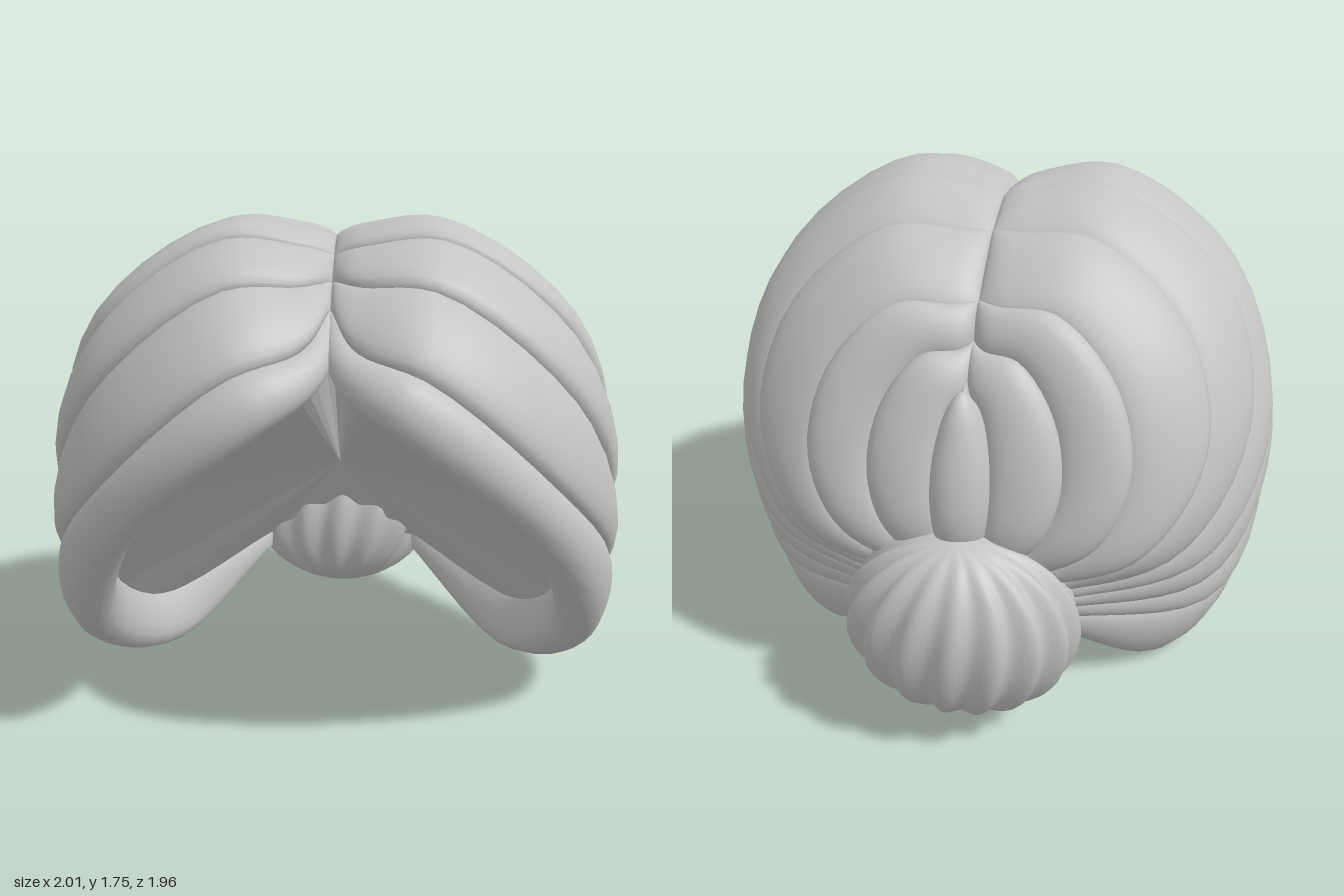
import * as THREE from 'three';

// Seam lines between locks on the left half, each from the parting towards the bun.
// A null seam lies midway between its neighbours.
const SEAMS = [
  [[0.02, 1.42, 0.62], [0.22, 1.17, 0.89], [0.61, 0.82, 0.75], [0.83, 0.29, 0.36], [0.64, 0.025, -0.16]],
  [[0, 1.5, 0.61], [0.3, 1.33, 0.88], [0.69, 0.98, 0.76], [0.92, 0.6, 0.34], [0.83, 0.28, -0.14]],
  [[0, 1.56, 0.46], [0.33, 1.55, 0.67], [0.75, 1.21, 0.58], [0.94, 0.76, 0.19], [0.81, 0.42, -0.22]],
  [[0, 1.62, 0.29], [0.37, 1.66, 0.37], [0.76, 1.38, 0.34], [0.94, 0.9, 0.02], [0.78, 0.55, -0.32]],
  [[0, 1.66, 0.07], [0.37, 1.68, 0.1], [0.76, 1.4, 0.04], [0.87, 1, -0.16], [0.7, 0.65, -0.42]],
  [[0, 1.6, -0.14], [0.34, 1.59, -0.17], [0.64, 1.35, -0.25], [0.74, 1, -0.4], [0.58, 0.7, -0.57]],
  [[0, 1.45, -0.37], [0.26, 1.44, -0.43], [0.46, 1.24, -0.5], [0.52, 0.97, -0.58], [0.43, 0.75, -0.64]],
  null,
  [[0, 1.24, -0.52], [0.05, 1.17, -0.59], [0.08, 1.06, -0.63], [0.09, 0.92, -0.67], [0.08, 0.8, -0.69]],
];

// Seam points, with a steep rise next to the parting and the gathered end beside the bun added.
function seamPoints(i) {
  if (!SEAMS[i]) {
    const next = seamPoints(i + 1);
    return seamPoints(i - 1).map((p, j) => p.lerp(next[j], 0.5));
  }
  const k = i / (SEAMS.length - 1);
  const [start, ...rest] = SEAMS[i].map((p) => new THREE.Vector3(...p));
  const rise = start.clone().lerp(rest[0], 0.6);
  rise.x = THREE.MathUtils.lerp(start.x, rest[0].x, 0.3);
  const end = new THREE.Vector3(0.3 - 0.25 * k ** 3, 0.28 + 0.38 * k ** 0.7, -0.5 - 0.17 * k ** 0.6);
  return [start, rise, ...rest, end];
}

// Rings of points to a smooth closed surface.
function ringGeometry(rows, flip) {
  const cols = rows[0].length, pos = [], index = [];
  rows.forEach((r) => r.forEach((p) => pos.push(flip ? -p.x : p.x, p.y, p.z)));
  for (let i = 0; i < rows.length - 1; i++) {
    for (let j = 0; j < cols; j++) {
      const a = i * cols + j, b = i * cols + ((j + 1) % cols), c = a + cols, d = b + cols;
      if (flip) index.push(a, c, b, b, c, d);
      else index.push(a, b, c, b, d, c);
    }
  }
  const g = new THREE.BufferGeometry();
  g.setAttribute('position', new THREE.Float32BufferAttribute(pos, 3));
  g.setIndex(index);
  g.computeVertexNormals();
  return g;
}

// Plump lock swept between two seam curves, flattening at both ends.
function lockGeometry(front, back, outer, inner, flip) {
  const rows = [], N = 44, M = 22;
  for (let i = 0; i <= N; i++) {
    const v = (1 - Math.cos((Math.PI * i) / N)) / 2;
    const a = front.getPoint(v), b = back.getPoint(v);
    const c = a.clone().add(b).multiplyScalar(0.5);
    const h = b.clone().sub(a).multiplyScalar(0.56);
    const n = front.getTangent(v).add(back.getTangent(v)).cross(h).normalize();
    const swell = Math.pow(Math.max(0, Math.sin(Math.PI * v)), 0.4);
    const row = [];
    for (let j = 0; j < M; j++) {
      const ang = (j / M) * Math.PI * 2, s = Math.sin(ang), co = Math.cos(ang);
      // the front edge rides slightly over the neighbouring lock
      const lift = (s > 0 ? outer : inner) * Math.sign(s) * Math.pow(Math.abs(s), 0.85) - 0.015 * co;
      row.push(c.clone().addScaledVector(h, co).addScaledVector(n, lift * swell));
    }
    rows.push(row);
  }
  return ringGeometry(rows, flip);
}

// Flat-faceted inside wall: a fan from the middle of the hollow to the core of the front lock.
function liningGeometry(front, back, flip) {
  const hub = new THREE.Vector3(0, 0.72, -0.3), rim = [], pts = [];
  for (let i = 0; i <= 24; i++) rim.push(front.getPoint(i / 24).lerp(back.getPoint(i / 24), 0.5));
  rim[0].x = 0;
  rim.push(new THREE.Vector3(0, 0.35, -0.56));
  for (let i = 0; i < rim.length - 1; i++) {
    const edge = flip ? [rim[i + 1], rim[i]] : [rim[i], rim[i + 1]];
    pts.push(hub, ...edge);
  }
  const side = flip ? -1 : 1;
  const g = new THREE.BufferGeometry().setFromPoints(pts.map((p) => p.clone().setX(p.x * side)));
  g.computeVertexNormals();
  return g;
}

// Ribbed ball with gently twisted flutes, built from pole to pole.
function bunGeometry() {
  const rows = [];
  for (let i = 0; i <= 32; i++) {
    const polar = (i / 32) * Math.PI, y = Math.cos(polar), ring = Math.sin(polar);
    const row = [];
    for (let j = 0; j < 128; j++) {
      const ang = (j / 128) * Math.PI * 2;
      const rib = 0.055 * Math.cos((ang + 0.16 * y) * 16) - 0.04;
      const r = ring * (1 + rib * Math.min(1, ring * 1.6));
      row.push(new THREE.Vector3(Math.cos(ang) * r * 0.4, y * 0.36, Math.sin(ang) * r * 0.278));
    }
    rows.push(row);
  }
  return ringGeometry(rows, false);
}

export function createModel() {
  const model = new THREE.Group();
  model.name = 'hairstyle';
  const hair = new THREE.MeshStandardMaterial({ color: 0xc4c4c4, side: THREE.DoubleSide });
  hair.name = 'hair grey';
  const add = (parent, name, geometry) => {
    const m = new THREE.Mesh(geometry, hair);
    m.name = name;
    parent.add(m);
    return m;
  };

  // Mirrored halves
  const curves = SEAMS.map((_, i) => new THREE.CatmullRomCurve3(seamPoints(i)));
  for (const side of ['left', 'right']) {
    const half = new THREE.Group(), flip = side === 'right';
    half.name = side + 'Half';
    model.add(half);
    for (let i = 0; i < curves.length - 1; i++) {
      const rim = i === 0;
      add(half, rim ? 'frontLock' : 'sideLock' + i,
        lockGeometry(curves[i], curves[i + 1], rim ? 0.1 : 0.068, rim ? 0.1 : 0.08, flip));
    }
    add(half, 'lining', liningGeometry(curves[0], curves[1], flip));
  }

  // Middle lock running down the back into the bun
  const midLeft = curves[curves.length - 1];
  const midRight = new THREE.CatmullRomCurve3(midLeft.points.map((p) => p.clone().setX(-p.x)));
  add(model, 'middleLock', lockGeometry(midLeft, midRight, 0.09, 0.06, false));

  // Bun, leaning back a little
  const bun = add(model, 'bun', bunGeometry());
  bun.position.set(0, 0.425, -0.695);
  bun.rotation.x = -0.15;

  return model;
}
